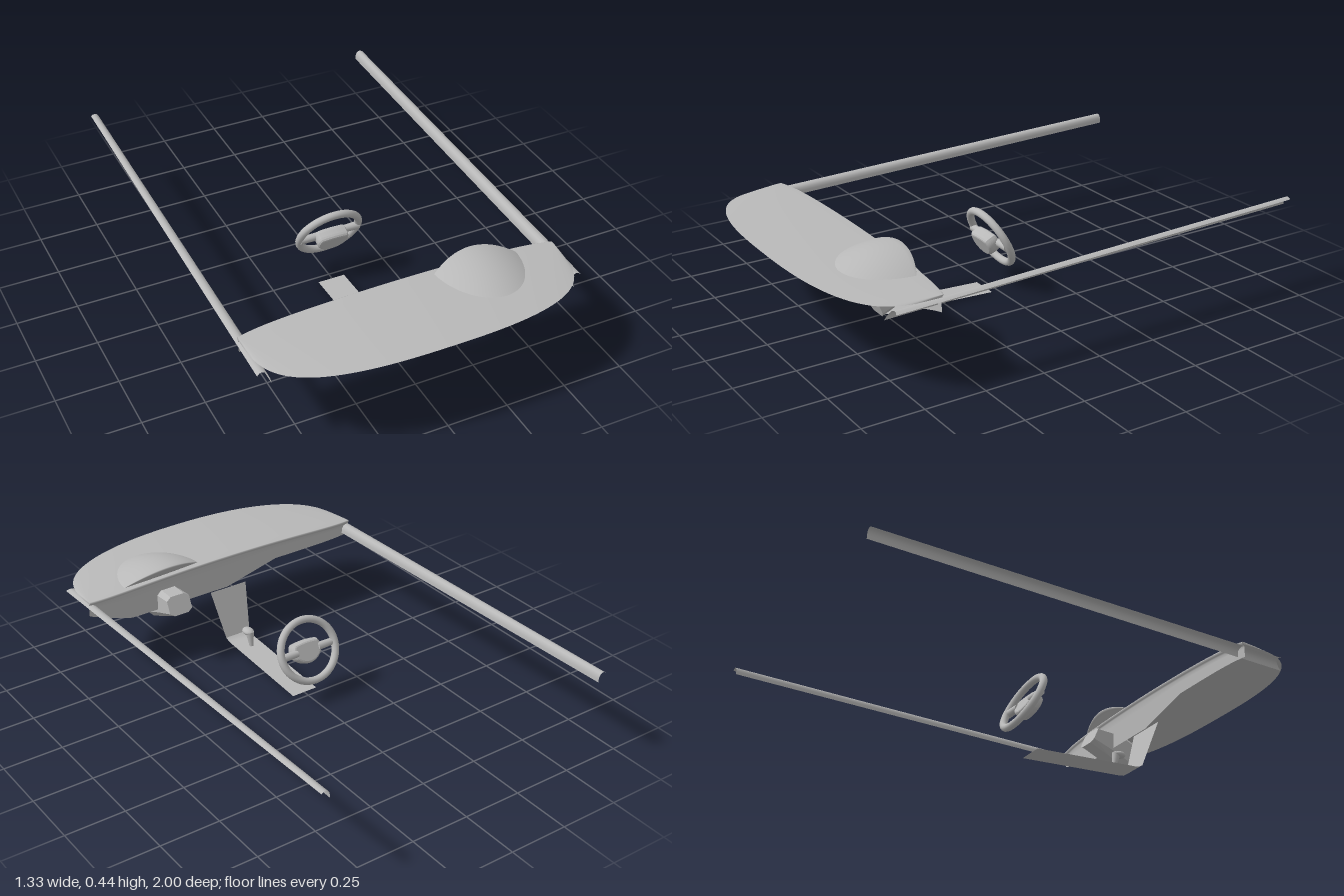
import * as THREE from 'three';

const V = (x, y, z) => new THREE.Vector3(x, y, z);
const { lerp, clamp } = THREE.MathUtils;

export function createModel() {
  const group = new THREE.Group();
  const grey = new THREE.MeshStandardMaterial({ name: 'grey', color: 0xb8b8b8, side: THREE.DoubleSide });

  const add = (name, geometry, parent = group) => {
    const mesh = new THREE.Mesh(geometry, grey);
    mesh.name = name;
    parent.add(mesh);
    return mesh;
  };

  // Smooth sheet through rows of points
  const sheet = (rows) => {
    const n = rows[0].length, index = [];
    for (let r = 0; r < rows.length - 1; r++) {
      for (let c = 0; c < n - 1; c++) {
        const a = r * n + c, d = a + n;
        index.push(a, d, a + 1, a + 1, d, d + 1);
      }
    }
    const g = new THREE.BufferGeometry().setFromPoints(rows.flat());
    g.setIndex(index);
    g.computeVertexNormals();
    return g;
  };
  const faceted = (g) => {
    const flat = g.toNonIndexed();
    flat.computeVertexNormals();
    return flat;
  };
  const steps = (n) => Array.from({ length: n + 1 }, (_, i) => i / n);

  // Dashboard top: crowned sheet with a rounded front outline
  const half = 0.655;
  const crown = (x, v) => 0.391 - 0.024 * (x / half) ** 2 - 0.01 * v * v;
  const across = steps(64).map((u) => half * Math.sin((u - 0.5) * Math.PI));
  const depth = (x) => 0.4 * Math.max(0, 1 - Math.abs(x / half) ** 2.4) ** (1 / 3.6);
  const rearZ = (x) => 0.597 + 0.018 * (x / half) ** 8;
  const topRows = steps(10).map((v) => across.map((x) =>
    V(x, crown(x, v), lerp(rearZ(x), Math.max(rearZ(x) + 0.002, 0.6 + depth(x)), v))));

  // Fascia: rounded over from the rear edge, deeper on the driver's side
  const hem = (x) => {
    if (x < 0) return 0.302 - 0.062 * clamp((x + 0.25) / 0.25, 0, 1);
    return 0.24 + 0.06 * clamp((x - 0.475) / 0.18, 0, 1);
  };
  const fasciaRows = [0, 0.25, 0.5, 0.75, 1].map((v) =>
    across.map((x) => V(x, lerp(hem(x), crown(x, 0) - 0.018, v), rearZ(x) + 0.006)));
  const lipRows = [[0.001, -0.013], [-0.003, -0.007], [-0.003, -0.002]].map(([dz, dy]) =>
    across.map((x) => V(x, crown(x, 0) + dy, rearZ(x) + dz)));
  add('dashboard', sheet([...fasciaRows, ...lipRows, ...topRows]));

  // Instrument hood: half dome with a lip turned under at the rear
  const hoodX = 0.31, hoodHalf = 0.185;
  const sides = steps(32).map((u) => Math.sin((u - 0.5) * Math.PI));
  const hoodRear = (s) => 0.582 + 0.045 * s * s;
  const hoodPoint = (s, z) => {
    const t = Math.max(0, (z - 0.6) / 0.25);
    const x = hoodX + hoodHalf * s;
    return V(x, crown(x, t * 0.65) - 0.004 + 0.054 * (1 - s * s - t * t), z);
  };
  const hoodRows = steps(12).map((v) => sides.map((s) => {
    const front = Math.max(hoodRear(s), 0.6 + 0.25 * Math.sqrt(Math.max(0, 1 - s * s)));
    return hoodPoint(s, lerp(front, hoodRear(s), v));
  }));
  for (const [dz, dy] of [[-0.003, -0.005], [0.003, -0.012], [0.02, -0.028], [0.035, -0.05], [0.07, -0.07]]) {
    hoodRows.push(sides.map((s) => {
      const p = hoodPoint(s, hoodRear(s));
      const k = 1 - s * s;
      return V(p.x, p.y + dy * k, p.z + dz * k);
    }));
  }
  add('instrumentHood', sheet(hoodRows));

  // Steering column housing: octagonal loft, each station [bottom z, y, top z, y]
  const octagon = [
    [-0.6, 0], [0.6, 0], [1, 0.17], [1, 0.83], [0.6, 1], [-0.6, 1], [-1, 0.83], [-1, 0.17], [-0.6, 0],
  ];
  const ring = ([z0, y0, z1, y1], size) => octagon.map(([a, b]) => {
    const h = 0.5 + (b - 0.5) * size;
    return V(0.293 + 0.053 * a * size, lerp(y0, y1, h), lerp(z0, z1, h));
  });
  const front = [0.68, 0.167, 0.73, 0.288];
  const middle = [0.6, 0.203, 0.65, 0.325];
  const rear = [0.496, 0.25, 0.53, 0.325];
  add('columnHousing', faceted(sheet([
    ring(front, 0), ring(front, 1), ring(middle, 1), ring(rear, 1), ring(rear, 0),
  ])));

  // Steering wheel, tilted towards the driver
  const wheel = new THREE.Group();
  wheel.name = 'steeringWheel';
  wheel.position.set(0, 0.218, 0);
  wheel.rotation.x = 0.44;
  group.add(wheel);
  add('wheelRim', new THREE.TorusGeometry(0.13, 0.016, 12, 48), wheel).scale.y = 0.97;
  for (const side of [-1, 1]) {
    const spoke = add('wheelSpoke', new THREE.CylinderGeometry(0.015, 0.017, 0.08, 12), wheel);
    spoke.rotation.z = Math.PI / 2;
    spoke.position.set(side * 0.09, 0, 0.006);
  }
  const pad = new THREE.Shape();
  pad.moveTo(-0.05, 0.026);
  pad.quadraticCurveTo(0, 0.034, 0.05, 0.026);
  pad.quadraticCurveTo(0.064, 0.005, 0.05, -0.02);
  pad.quadraticCurveTo(0.03, -0.043, 0, -0.044);
  pad.quadraticCurveTo(-0.03, -0.043, -0.05, -0.02);
  pad.quadraticCurveTo(-0.064, 0.005, -0.05, 0.026);
  add('wheelHub', new THREE.ExtrudeGeometry(pad, {
    depth: 0.022, bevelEnabled: true, bevelSize: 0.011, bevelThickness: 0.017, bevelSegments: 3,
  }), wheel).position.z = 0.015;

  // Centre console: tapered upright panel bending into a narrow floor strip
  const consoleRow = ([z, y, w]) => [-1, 1].map((s) => V(s * w - 0.003, y, z));
  add('consolePanel', sheet([[0.603, 0.236, 0.089], [0.535, 0.035, 0.06]].map(consoleRow)));
  add('consoleFloor', sheet([
    [0.535, 0.035, 0.06], [0.52, 0.026, 0.058], [0.5, 0.023, 0.058], [0.03, 0, 0.058],
  ].map(consoleRow)));

  // Gear lever: tapered stem flowing into an egg-shaped knob
  const stem = add('gearStem', new THREE.CylinderGeometry(0.018, 0.009, 0.064, 16));
  stem.position.set(-0.006, 0.056, 0.438);
  stem.rotation.x = 0.18;
  const knob = add('gearKnob', new THREE.SphereGeometry(1, 20, 14));
  knob.scale.set(0.023, 0.015, 0.031);
  knob.position.set(-0.006, 0.085, 0.457);

  // Door trims: long thin strips curving down from the outer edge to the inner one
  const section = [
    [0.664, 0.03], [0.653, 0.036], [0.642, 0.037], [0.63, 0.033], [0.623, 0.024], [0.62, 0.013], [0.619, 0],
  ];
  for (const side of [-1, 1]) {
    const rows = steps(12).map((v) => section.map(([x, h]) => {
      const z = lerp(0.83 - h * 0.8, -1, v);
      return V(side * (0.619 + (x - 0.619) * (1 - 0.2 * v)), 0.309 + 0.045 * v + h, z);
    }));
    add(side > 0 ? 'leftDoorTrim' : 'rightDoorTrim', sheet(rows));
  }

  return group;
}
